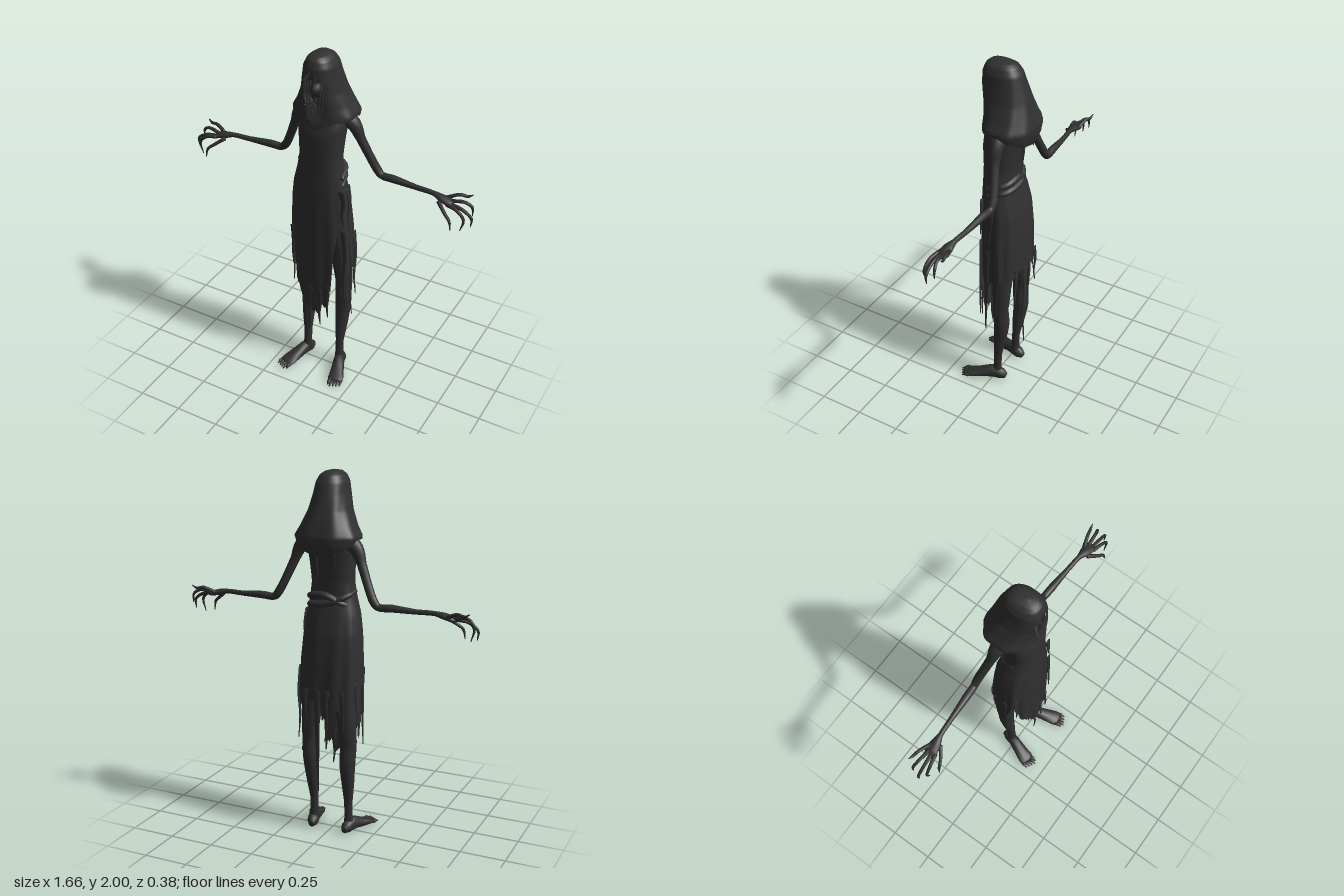
import * as THREE from 'three';
import { mergeVertices } from 'three/addons/utils/BufferGeometryUtils.js';

const V = (x, y, z) => new THREE.Vector3(x, y, z);
const X = V(1, 0, 0), Z = V(0, 0, 1), RAD = Math.PI / 180;

let seed = 7;
const rand = () => (seed = (seed * 16807) % 2147483647) / 2147483647;

// Linear lookup in rows of [key, ...values], keys ascending
function lookup(table, k) {
  let i = 1;
  while (i < table.length - 1 && table[i][0] < k) i++;
  const a = table[i - 1], b = table[i];
  const t = THREE.MathUtils.clamp((k - a[0]) / (b[0] - a[0]), 0, 1);
  return a.slice(1).map((v, j) => v + (b[j + 1] - v) * t);
}

// Surface from a grid of points, welded so that it shades smoothly
function surface(rows, cols, point) {
  const pos = [], index = [];
  for (let i = 0; i <= rows; i++) for (let j = 0; j <= cols; j++) pos.push(...point(i, j));
  for (let i = 0; i < rows; i++) for (let j = 0; j < cols; j++) {
    const a = i * (cols + 1) + j, b = a + cols + 1;
    index.push(a, a + 1, b, a + 1, b + 1, b);
  }
  const g = new THREE.BufferGeometry();
  g.setAttribute('position', new THREE.Float32BufferAttribute(pos, 3));
  g.setIndex(index);
  const welded = mergeVertices(g, 1e-5);
  welded.computeVertexNormals();
  return welded;
}

// Rounded limb through [x, y, z, widthRadius, depthRadius?]; width runs along ref
function limb(points, ref = X, sides = 10, steps = 4) {
  const curve = new THREE.CatmullRomCurve3(points.map(p => V(p[0], p[1], p[2])));
  const n = (points.length - 1) * steps;
  return surface(n + 2, sides, (i, j) => {
    const t = THREE.MathUtils.clamp((i - 1) / n, 0, 1);
    const c = curve.getPoint(t), tan = curve.getTangent(t);
    const a = ref.clone().addScaledVector(tan, -ref.dot(tan)).normalize();
    const b = tan.clone().cross(a);
    const f = t * (points.length - 1), k = Math.min(Math.floor(f), points.length - 2);
    const cap = i === 0 || i === n + 2 ? 0 : 1;
    const r = q => THREE.MathUtils.lerp(points[k][q] ?? points[k][3], points[k + 1][q] ?? points[k + 1][3], f - k) * cap;
    const u = (j % sides) / sides * Math.PI * 2;
    return c.addScaledVector(a, Math.cos(u) * r(3)).addScaledVector(b, Math.sin(u) * r(4)).toArray();
  });
}

const bend = (v, p) => Math.sign(v) * Math.abs(v) ** p;

// Gown: y, right x, left x, front z, back z
const GOWN = [
  [0.42, -0.17, 0.18, 0.085, -0.15], [0.8, -0.18, 0.175, 0.088, -0.148], [1.0, -0.178, 0.165, 0.09, -0.143],
  [1.15, -0.17, 0.15, 0.09, -0.13], [1.25, -0.155, 0.137, 0.09, -0.108], [1.34, -0.13, 0.123, 0.085, -0.085],
  [1.42, -0.115, 0.112, 0.085, -0.085], [1.54, -0.122, 0.122, 0.085, -0.1], [1.6, -0.13, 0.13, 0.075, -0.11],
  [1.66, -0.12, 0.12, 0.05, -0.1], [1.7, -0.05, 0.05, 0.02, -0.07]];
// Torn hem: degrees around from the front, height
const HEM = [
  [-180, 0.72], [-160, 0.8], [-140, 0.73], [-115, 0.79], [-90, 0.7], [-72, 0.74], [-58, 0.86], [-45, 0.97],
  [-36, 0.82], [-28, 0.6], [-20, 0.5], [-5, 0.45], [12, 0.45], [24, 0.5], [36, 0.58], [46, 0.62], [56, 0.82],
  [68, 0.86], [80, 0.68], [95, 0.58], [112, 0.8], [140, 0.72], [160, 0.8], [180, 0.72]];

function gownGeometry() {
  const rows = 44, cols = 112;
  const tears = Array.from({ length: cols }, () => (rand() - 0.5) * 0.09);
  return surface(rows, cols, (i, j) => {
    const u = ((j % cols) / cols) * 360 - 180;
    const hem = lookup(HEM, u)[0] + tears[j % cols];
    const y = 1.7 + (hem - 1.7) * i / rows;
    const [x0, x1, zf, zb] = lookup(GOWN, y);
    const fall = THREE.MathUtils.clamp((1.4 - y) / 0.5, 0, 1);
    const fold = 1 + 0.025 * fall * Math.sin(u * RAD * 11 + y * 2) - 0.02 * fall;
    const x = (x0 + x1) / 2 - (x1 - x0) / 2 * bend(Math.sin(-u * RAD), 0.85) * fold;
    const z = (zf + zb) / 2 + (zf - zb) / 2 * bend(Math.cos(u * RAD), 0.75) * fold;
    // Columns run clockwise from above so the outside is the front face
    return [-x + (x0 + x1), y, z];
  });
}

// Hood: y, half width, front z, back z, half width of the face opening
const HOOD = [
  [1.56, 0.145, 0.088, -0.165, 0], [1.62, 0.163, 0.085, -0.185, 0], [1.67, 0.174, 0.078, -0.19, 0.038],
  [1.72, 0.145, 0.078, -0.176, 0.055], [1.8, 0.109, 0.09, -0.15, 0.066], [1.88, 0.09, 0.103, -0.125, 0.05],
  [1.94, 0.08, 0.1, -0.105, 0], [1.975, 0.062, 0.086, -0.082, 0], [1.992, 0.038, 0.065, -0.055, 0],
  [2.0, 0, 0.01, 0.01, 0]];
const HOOD_EDGE = [[0, 1.6], [35, 1.65], [90, 1.655], [130, 1.61], [180, 1.57]];

function hoodGeometry() {
  const rows = 44, cols = 72;
  return surface(rows, cols, (i, j) => {
    const phi = j / cols * Math.PI * 2;
    const edge = lookup(HOOD_EDGE, 180 - Math.abs(180 - phi / RAD))[0];
    const y = 2 + (edge - 2) * (i / rows) ** 1.4;
    const [w, zf, zb, gap] = lookup(HOOD, y);
    const start = w > 0 ? Math.asin(Math.min(1, (gap / w) ** 1.18)) : 0;
    const u = start + phi * (1 - start / Math.PI);
    const fold = 1 + 0.025 * Math.min(1, (2 - y) * 3) * Math.sin(u * 8 + y * 14) * Math.sin(u / 2);
    return [-w * bend(Math.sin(u), 0.85) * fold, y,
      (zf + zb) / 2 + (zf - zb) / 2 * bend(Math.cos(u), 0.8) * fold];
  });
}

// Gaunt head with sunken eyes, open jaw and a thin nose
function headGeometry() {
  const g = new THREE.SphereGeometry(1, 40, 32), p = g.attributes.position;
  const bump = (x, y, cx, cy, sx, sy) => Math.exp(-(((x - cx) / sx) ** 2) - ((y - cy) / sy) ** 2);
  for (let i = 0; i < p.count; i++) {
    const narrow = p.getY(i) < 0 ? 1 + 0.4 * p.getY(i) : 1;
    const x = p.getX(i) * 0.062 * narrow, y = 1.82 + p.getY(i) * 0.115;
    let z = 0.01 + p.getZ(i) * 0.068;
    if (p.getZ(i) > 0) z += 0.018 * bump(x, y, 0, 1.82, 0.009, 0.025)
      - 0.026 * (bump(x, y, 0.025, 1.85, 0.014, 0.014) + bump(x, y, -0.025, 1.85, 0.014, 0.014))
      - 0.035 * bump(x, y, 0, 1.762, 0.018, 0.026);
    p.setXYZ(i, x, y, z);
  }
  g.computeVertexNormals();
  return g;
}

const ARM = [
  [0.09, 1.655, -0.05, 0.05], [0.155, 1.61, -0.055, 0.038], [0.192, 1.53, -0.065, 0.025],
  [0.235, 1.43, -0.085, 0.023], [0.275, 1.35, -0.1, 0.023], [0.3, 1.325, -0.1, 0.02], [0.37, 1.325, -0.096, 0.021],
  [0.5, 1.32, -0.09, 0.014], [0.6, 1.32, -0.083, 0.013], [0.65, 1.31, -0.077, 0.028, 0.017],
  [0.69, 1.3, -0.075, 0.034, 0.015], [0.71, 1.295, -0.075, 0.026, 0.01]];
const FINGERS = [
  [[0.64, 1.3, -0.055], [0.69, 1.265, -0.02], [0.725, 1.235, -0.005], [0.735, 1.185, 0]],
  [[0.69, 1.3, -0.048], [0.75, 1.29, -0.035], [0.79, 1.25, -0.03], [0.775, 1.18, -0.03]],
  [[0.69, 1.297, -0.066], [0.77, 1.287, -0.06], [0.82, 1.25, -0.06], [0.818, 1.2, -0.06]],
  [[0.69, 1.3, -0.085], [0.765, 1.315, -0.09], [0.805, 1.29, -0.1], [0.81, 1.24, -0.1]],
  [[0.67, 1.31, -0.097], [0.73, 1.335, -0.115], [0.77, 1.33, -0.125], [0.795, 1.345, -0.13]]];
const LEG = [
  [0.08, 1.0, -0.04, 0.07], [0.095, 0.8, -0.05, 0.06], [0.112, 0.6, -0.055, 0.047], [0.114, 0.53, -0.05, 0.045],
  [0.11, 0.42, -0.055, 0.044], [0.108, 0.3, -0.042, 0.035], [0.105, 0.18, -0.028, 0.023],
  [0.105, 0.1, -0.025, 0.023], [0.107, 0.05, -0.022, 0.028]];
const FOOT = [
  [0.1, 0.026, -0.078, 0.016, 0.018], [0.104, 0.036, -0.05, 0.031, 0.034], [0.117, 0.045, 0, 0.032, 0.04],
  [0.138, 0.032, 0.06, 0.038, 0.028], [0.157, 0.02, 0.115, 0.045, 0.017], [0.163, 0.015, 0.14, 0.04, 0.012]];

// Hanging rags: [x, z] at top, top y, bottom y, half width, sideways drift, edge-on flag
const RAGS = [
  [-0.02, 0.087, 0.6, 0.29, 0.014, -0.012], [0.03, 0.087, 0.6, 0.35, 0.016, 0.01], [0.08, 0.085, 0.65, 0.42, 0.014, 0.005],
  [0.03, -0.147, 0.85, 0.27, 0.018, -0.01], [-0.03, -0.147, 0.85, 0.56, 0.016, 0.01], [0.1, -0.14, 0.85, 0.6, 0.018, 0.01],
  [-0.11, -0.135, 0.85, 0.62, 0.016, -0.01], [-0.175, -0.01, 0.9, 0.53, 0.018, -0.008, 1],
  [-0.17, -0.07, 0.9, 0.64, 0.02, 0, 1], [-0.15, 0.05, 0.95, 0.7, 0.016, 0, 0], [0.172, 0.0, 0.95, 0.43, 0.018, 0.02, 1],
  [0.168, -0.06, 0.95, 0.53, 0.02, 0.015, 1], [0.155, 0.045, 1.0, 0.5, 0.016, 0.02, 0],
  [0.15, -0.01, 1.26, 0.98, 0.024, 0.02, 1], [0.14, 0.045, 1.25, 1.04, 0.018, 0.02, 0],
  [0.02, -0.135, 1.6, 1.43, 0.012, 0.02], [-0.07, -0.14, 1.62, 1.52, 0.012, 0]];

export function createModel() {
  const model = new THREE.Group();
  const ash = new THREE.MeshStandardMaterial({ color: 0x303030, side: THREE.DoubleSide });
  ash.name = 'ash black';
  const add = (name, geometry) => {
    const mesh = new THREE.Mesh(geometry, ash);
    mesh.name = name;
    model.add(mesh);
  };

  add('gown', gownGeometry());
  add('hood', hoodGeometry());
  add('head', headGeometry());
  add('neck', limb([[0, 1.6, -0.04, 0.04], [0, 1.7, -0.02, 0.032], [0, 1.78, -0.01, 0.035]]));

  // Rags hanging from the gown and hood
  for (const [x, z, top, bottom, w, drift, edgeOn] of RAGS) {
    const h = bottom - top;
    add('rag', limb([[x, top, z, w, 0.004], [x + drift * 0.6, top + h * 0.35, z - 0.004, w * 0.8, 0.005],
      [x + drift * 0.4, top + h * 0.7, z + 0.003, w * 0.5, 0.004], [x + drift, bottom, z, 0.003, 0.002]], edgeOn ? Z : X, 8));
  }

  // Twisted wrap around the back of the waist
  for (const dy of [0, 0.045]) {
    add('waistWrap', limb([[-0.12, 1.37 - dy, 0.02, 0.012], [-0.1, 1.35 - dy, -0.06, 0.016], [0, 1.31 + dy, -0.09, 0.02],
      [0.1, 1.3 + dy, -0.07, 0.017], [0.13, 1.27 + dy, 0.02, 0.012]], V(0, 1, 0), 8));
  }

  for (const s of [1, -1]) {
    const side = s > 0 ? 'left' : 'right';
    const mirror = points => points.map(([x, ...rest]) => [x * s, ...rest]);
    add(side + 'Arm', limb(mirror(ARM), Z, 12));
    FINGERS.forEach(f => add(side + 'Finger',
      limb(mirror(f.map((p, i) => [...p, [0.011, 0.009, 0.008, 0.002][i]])), Z, 8)));
    add(side + 'Leg', limb(mirror(LEG), X, 14));
    add(side + 'Foot', limb(mirror(FOOT), X, 14));
    for (let i = 0; i < 5; i++) {
      const x = 0.132 + i * 0.016, tip = 0.186 - Math.abs(i - 1) * 0.009, r = i ? 0.008 : 0.011;
      add(side + 'Toe', limb(mirror([[x, 0.015, 0.12, r], [x + 0.004, 0.017, tip - 0.02, r], [x + 0.006, 0.008, tip, 0.004]]), X, 8));
    }
    // Lank hair beside the face
    for (let i = 0; i < 3; i++) {
      const x = 0.02 + i * 0.015;
      add('hair', limb(mirror([[x + 0.008, 1.86 - i * 0.01, 0.058, 0.005], [x + 0.008, 1.76, 0.072, 0.006],
        [x * 0.8, 1.69, 0.07, 0.005], [x * 0.7, 1.635 + i * 0.008, 0.085, 0.002]]), X, 6));
    }
  }
  return model;
}
